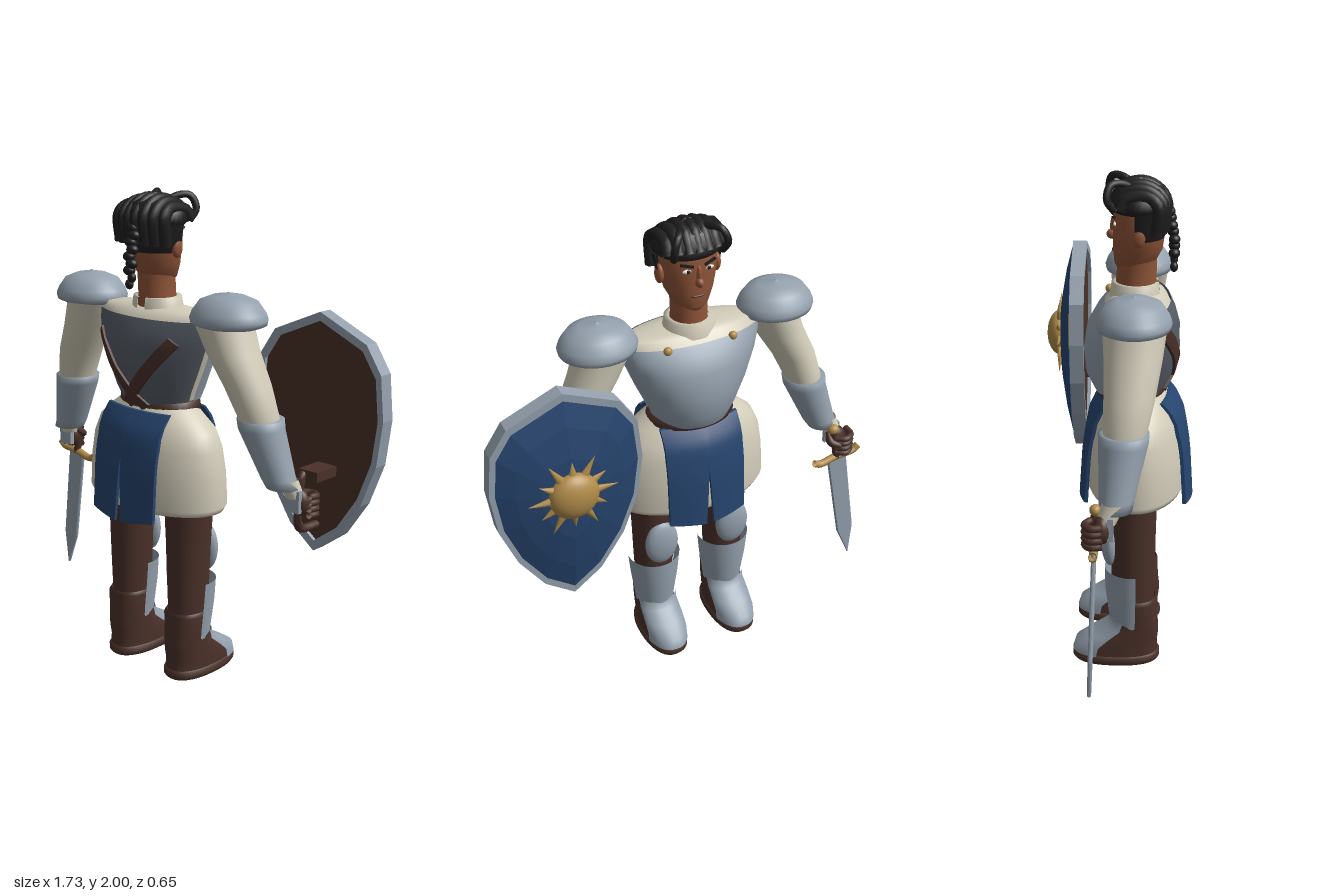
import * as THREE from 'three';

const mat = (name, color) => {
  const m = new THREE.MeshStandardMaterial({ color, side: THREE.DoubleSide });
  m.name = name;
  return m;
};
const M = {
  skin: mat('skin', 0x8f5438), hair: mat('hair', 0x1e1e1e), steel: mat('steel', 0x94a1ae),
  dark: mat('dark steel', 0x565d67), cream: mat('cream cloth', 0xd2ccb9), brown: mat('brown leather', 0x4b3129),
  blue: mat('blue cloth', 0x26456f), brass: mat('brass', 0xb18c4a), white: mat('eye white', 0xe6e0d4),
};
const C = -0.095; // body centre line in x
const V = (x, y, z) => new THREE.Vector3(x, y, z);

export function createModel() {
  const root = new THREE.Group();
  const add = (name, geo, m, pos = [0, 0, 0], scale = [1, 1, 1], parent = root) => {
    const mesh = new THREE.Mesh(geo, m);
    mesh.name = name;
    mesh.position.set(...pos);
    mesh.scale.set(...scale);
    parent.add(mesh);
    return mesh;
  };
  const ball = (name, m, pos, radii, parent) =>
    add(name, new THREE.SphereGeometry(1, 24, 16), m, pos, radii, parent);

  // Skin over horizontal rings [x, y, z, halfWidth, front, back], bottom to top; +z is the back.
  function loft(rings, { from = 0, to = Math.PI * 2, n = 36, pow = 1, grow = 0 } = {}) {
    const full = to - from > 6.28, cols = full ? n : n + 1, pos = [], idx = [];
    const p = v => Math.sign(v) * Math.abs(v) ** pow;
    rings.forEach(([x, y, z, w, f, b = f]) => {
      for (let j = 0; j < cols; j++) {
        const t = from + (to - from) * j / n, s = p(Math.sin(t));
        pos.push(x + (w + grow) * p(Math.cos(t)), y, z + s * ((s > 0 ? b : f) + grow));
      }
    });
    for (let i = 0; i < rings.length - 1; i++) for (let j = 0; j < n; j++) {
      const a = i * cols + j, b = i * cols + (j + 1) % cols, c = a + cols, d = b + cols;
      idx.push(a, c, b, b, c, d);
    }
    const g = new THREE.BufferGeometry();
    g.setAttribute('position', new THREE.Float32BufferAttribute(pos, 3));
    g.setIndex(idx);
    g.computeVertexNormals();
    return g;
  }
  // Linear lookup of column k in rows sorted by rising y
  const at = (rows, y, yCol, k) => {
    let i = 0;
    while (i < rows.length - 2 && y > rows[i + 1][yCol]) i++;
    const a = rows[i], b = rows[i + 1];
    const t = THREE.MathUtils.clamp((y - a[yCol]) / (b[yCol] - a[yCol]), 0, 1);
    return a[k] + (b[k] - a[k]) * t;
  };
  const bend = (g, rule) => {
    const p = g.attributes.position, v = V(0, 0, 0);
    for (let i = 0; i < p.count; i++) { v.fromBufferAttribute(p, i); rule(v); p.setXYZ(i, v.x, v.y, v.z); }
    g.computeVertexNormals();
    return g;
  };
  const tube = (name, pts, r, m, parent) =>
    add(name, new THREE.TubeGeometry(new THREE.CatmullRomCurve3(pts.map(p => V(...p))), 20, r, 8), m, undefined, undefined, parent);

  // Torso: cloth body, breastplate, back plate
  const torso = [[C, 1.15, .08, .155, .14, .11], [C, 1.22, .08, .18, .175, .145], [C, 1.32, .08, .225, .185, .17],
    [C, 1.42, .08, .265, .17, .172], [C, 1.48, .08, .285, .135, .155], [C, 1.52, .08, .29, .1, .135]];
  add('tunicTop', loft([...torso, [C, 1.545, .085, .27, .085, .1], [C, 1.555, .09, .08, .07, .07]]), M.cream);
  add('breastplate', loft(torso, { from: Math.PI + .08, to: Math.PI * 2 - .08, grow: .01 }), M.steel);
  add('backPlate', loft(torso, { from: .08, to: Math.PI - .08, grow: .01 }), M.dark);
  add('collar', loft([[C, 1.53, .09, .11, .105, .095], [C, 1.59, .09, .1, .095, .09], [C, 1.59, .09, .078, .078]],
    { from: Math.PI / 2 + .2, to: Math.PI * 2.5 - .2 }), M.cream);
  for (const s of [-1, 1]) {
    ball('strapStud', M.brass, [C + s * .14, 1.515, -.02], [.018, .018, .016]);
    const strap = new THREE.BoxGeometry(.045, .385, .025, 2, 12, 1).rotateZ(s * -.72).translate(s * .077, 1.3, 0);
    bend(strap, v => {
      const w = at(torso, v.y, 1, 3), b = at(torso, v.y, 1, 5);
      v.z += .09 + b * Math.sqrt(Math.max(.1, 1 - (v.x / w) ** 2));
      v.x += C;
    });
    add('backStrap', strap, M.brown);
  }

  // Skirt, belt and split tabard
  add('skirt', loft([[C, .76, .095, .3, .17], [C, .745, .095, .33, .192], [C, .77, .095, .343, .204], [C, .9, .095, .335, .2],
    [C, 1.0, .095, .32, .185], [C, 1.07, .095, .29, .165], [C, 1.12, .095, .235, .135], [C, 1.17, .09, .165, .11]], { n: 48 }), M.cream);
  add('belt', loft([[C, 1.14, .085, .16, .13, .11], [C, 1.14, .085, .19, .15, .125], [C, 1.18, .085, .18, .15, .125], [C, 1.18, .085, .15, .13, .11]]), M.brown);
  const drape = [[.69, .226], [.9, .212], [1.05, .188], [1.1, .165], [1.15, .125]];
  for (const face of [-1, 1]) for (const s of [-1, 1]) {
    const panel = bend(new THREE.BoxGeometry(.17, .45, .014, 6, 10, 1), v => {
      const y = v.y + .92, low = Math.max(0, .97 - y), out = (v.x + .085) / .17;
      const x = out * .172 + low * .06 * (1 - out);
      v.set(C + s * x, y + out * .02 * (low > 0 ? 1 : 0), .095 + face * (at(drape, y, 0, 1) - 1 * x * x + v.z));
    });
    add(face < 0 ? 'frontTabard' : 'backTabard', panel, M.blue);
  }

  // Legs, boots and leg armour
  for (const s of [-1, 1]) {
    const x = C + s * .168, leg = new THREE.Group();
    leg.name = s > 0 ? 'legPlusX' : 'legMinusX';
    root.add(leg);
    const part = (name, g, m) => add(name, g, m, undefined, undefined, leg);
    part('trouser', loft([[x, .27, .085, .08, .085, .09], [x, .45, .085, .088, .085, .093], [x, .6, .085, .093, .092, .095],
      [x, .8, .085, .105, .105, .1]]), M.brown);
    const boot = [[x, .04, .02, .088, .172, .172], [x, .08, .025, .088, .165, .165], [x, .12, .05, .087, .13, .145],
      [x, .16, .08, .085, .09, .115], [x, .2, .09, .086, .085, .1], [x, .28, .09, .09, .09, .097], [x, .295, .09, .08, .08, .09]];
    part('boot', loft(boot, { pow: .85 }), M.brown);
    part('sole', loft([[x, 0, .02, .001, .001], [x, 0, .02, .088, .172], [x, .012, .02, .096, .181],
      [x, .034, .02, .096, .181], [x, .042, .02, .085, .17]], { pow: .85 }), M.brown);
    part('footPlate', loft(boot.slice(0, 5), { from: Math.PI + .4, to: 2 * Math.PI - .4, pow: .85, grow: .009 }), M.steel);
    part('greave', loft([[x, .17, .085, .085, .09], [x, .22, .085, .09, .097], [x, .33, .085, .105, .11], [x, .43, .085, .115, .112]],
      { from: Math.PI - .15, to: 2 * Math.PI + .15 }), M.steel);
    ball('kneePad', M.steel, [x, .545, -.005], [.075, .11, .037], leg);
  }

  // Arms: sleeve, pad, cuff and gloved fist
  for (const s of [-1, 1]) {
    const X = d => C + s * d, arm = new THREE.Group();
    arm.name = s > 0 ? 'armPlusX' : 'armMinusX';
    root.add(arm);
    const part = (name, g, m, pos) => add(name, g, m, pos, undefined, arm);
    part('sleeve', loft([[X(.52), 1.13, .06, .07, .075], [X(.52), 1.18, .065, .078, .082], [X(.475), 1.3, .08, .09, .095],
      [X(.41), 1.42, .09, .1, .108], [X(.36), 1.54, .095, .11, .12]]), M.cream);
    const pad = part('shoulderPad', new THREE.LatheGeometry([[0, -.06], [.13, -.06], [.155, -.05], [.16, -.03], [.15, -.005],
      [.12, .035], [.07, .055], [.01, .062], [.007, .068], [0, .068]].map(p => new THREE.Vector2(...p)), 36), M.steel, [X(.385), 1.58, .092]);
    pad.scale.z = .87;
    part('cuff', loft([[X(.615), .93, .035, .04, .04], [X(.62), .915, .035, .066, .062], [X(.6), .95, .038, .07, .066], [X(.53), 1.14, .06, .09, .092],
      [X(.525), 1.175, .06, .092, .094], [X(.525), 1.175, .06, .07, .075]]), M.steel);
    part('wrist', loft([[X(.655), .875, .0, .036, .038], [X(.635), .95, .03, .042, .045]]), M.cream);
    ball('palm', M.brown, [X(.665), .855, -.012], [.045, .055, .035], arm);
    for (let i = 0; i < 4; i++)
      tube('finger', [[X(.715), .885 - i * .025, -.01], [X(.715), .882 - i * .025, -.055], [X(.68), .88 - i * .025, -.075],
        [X(.645), .88 - i * .025, -.055]], .014, M.brown, arm);
    tube('thumb', [[X(.63), .89, -.01], [X(.625), .86, -.05], [X(.66), .845, -.07]], .015, M.brown, arm);
    part('handPlate', new THREE.BoxGeometry(.07, .09, .02), M.steel, [X(.66), .865, .018]);
  }

  // Head and face (facing -z)
  add('neck', loft([[C, 1.53, .09, .08, .08], [C, 1.6, .09, .072, .078], [C, 1.7, .095, .075, .075]]), M.skin);
  add('head', loft([[C, 1.645, .08, .001, .001], [C, 1.645, .06, .04, .045, .05], [C, 1.665, .08, .07, .075, .08], [C, 1.72, .1, .098, .1, .09],
    [C, 1.79, .1, .112, .1, .1], [C, 1.86, .1, .116, .1, .105], [C, 1.92, .1, .1, .085, .1], [C, 1.96, .1, .04, .04]]), M.skin);
  ball('nose', M.skin, [C, 1.775, -.003], [.016, .02, .022]);
  ball('noseBridge', M.skin, [C, 1.805, .002], [.011, .04, .013]);
  ball('mouth', M.brown, [C, 1.715, .003], [.032, .005, .007]);
  for (const s of [-1, 1]) {
    ball('ear', M.skin, [C + s * .12, 1.79, .1], [.017, .04, .026]);
    ball('eye', M.white, [C + s * .045, 1.825, .009], [.021, .009, .007]);
    ball('pupil', M.hair, [C + s * .043, 1.825, .004], [.008, .008, .004]);
    const brow = add('brow', new THREE.BoxGeometry(.052, .009, .009), M.hair, [C + s * .048, 1.85, .006]);
    brow.rotation.set(0, s * -.25, s * .2);
  }

  // Hair: cap, swept locks, curls and braid
  add('hairBack', loft([[C, 1.77, .1, .118, .1, .098], [C, 1.8, .1, .13, .1, .108], [C, 1.88, .1, .145, .1, .115]],
    { from: -.15, to: Math.PI + .15 }), M.hair);
  add('hairCap', loft([[C, 1.87, .1, .125, .1, .11], [C, 1.89, .1, .145, .113, .118], [C, 1.925, .1, .138, .105, .112],
    [C, 1.96, .1, .105, .08, .09], [C, 1.98, .1, .055, .045], [C, 1.985, .1, .001, .001]]), M.hair);
  for (let i = -3; i <= 3; i++) {
    const d = i * .038, drop = d * d * 2.2;
    tube('hairLock', [[C + d * 1.1, 1.8, .195 - drop], [C + d * 1.1, 1.91, .2 - drop], [C + d, 1.97 - drop, .13],
      [C + d, 1.96 - drop, .05], [C + d * 1.05, 1.895, .0 + drop]], .024, M.hair);
  }
  for (const s of [-1, 1]) {
    tube('frontCurl', [[C + s * .03, 1.94, .1], [C + s * .06, 1.98, .04], [C + s * .09, 1.98, -.005], [C + s * .11, 1.93, -.018],
      [C + s * .1, 1.885, .01]], .015, M.hair);
  }
  ball('crown', M.skin, [C, 1.98, .105], [.022, .015, .022]);
  for (let i = 0; i < 9; i++) {
    const r = i < 7 ? .026 : .018;
    ball('braidKnot', M.hair, [C + (i % 2 ? .007 : -.007), 1.865 - i * .027, .215 + Math.min(i, 4) * .005], [r, .02, r * .85]);
  }

  // Shield with domed face, sun and grip
  const shield = new THREE.Group();
  shield.name = 'shield';
  shield.position.set(.545, 1.15, 0);
  root.add(shield);
  const half = [[0, .425], [.22, .33], [.29, .225], [.308, .05], [.285, -.13], [.22, -.3], [.12, -.45], [0, -.54]];
  const outline = [...half, ...half.slice(1, -1).reverse().map(([x, y]) => [-x, y])];
  const scaled = k => outline.map(([x, y]) => new THREE.Vector2(x * k, y * k));
  const rim = new THREE.Shape(scaled(1));
  rim.holes.push(new THREE.Path(scaled(.92)));
  add('shieldRim', new THREE.ExtrudeGeometry(rim, { depth: .06, bevelEnabled: false }), M.steel, [0, 0, -.2], undefined, shield);
  add('shieldBack', new THREE.ShapeGeometry(new THREE.Shape(scaled(.93))), M.brown, [0, 0, -.155], undefined, shield);
  const dome = [], rows = [.93, .7, .4, 0], N = outline.length;
  const domePoint = (k, j) => [outline[j % N][0] * k, outline[j % N][1] * k, -.195 - .068 * (1 - k * k)];
  for (let i = 0; i < 3; i++) for (let j = 0; j < N; j++) {
    const [a, b, c, d] = [[i, j], [i, j + 1], [i + 1, j], [i + 1, j + 1]].map(([r, q]) => domePoint(rows[r], q));
    dome.push(...a, ...b, ...c);
    if (i < 2) dome.push(...b, ...d, ...c);
  }
  const domeGeo = new THREE.BufferGeometry();
  domeGeo.setAttribute('position', new THREE.Float32BufferAttribute(dome, 3));
  domeGeo.computeVertexNormals();
  add('shieldFace', domeGeo, M.blue, undefined, undefined, shield);
  ball('sunDisc', M.brass, [0, .005, -.262], [.1, .1, .058], shield);
  for (let i = 0; i < 12; i++) {
    const a = i * Math.PI / 6, len = i % 2 ? .08 : .11, r = .075 + len / 2;
    const ray = add('sunRay', new THREE.ConeGeometry(.022, len, 8), M.brass, [Math.cos(a) * r, .005 + Math.sin(a) * r, -.262], [1, 1, .7], shield);
    ray.rotation.z = a - Math.PI / 2;
  }
  tube('shieldGrip', [[.02, -.19, -.155], [.02, -.19, -.04], [.02, -.22, -.025], [.01, -.36, -.025], [0, -.42, -.05], [0, -.43, -.155]], .017, M.brown, shield);
  add('gripBracket', new THREE.BoxGeometry(.09, .04, .12), M.brown, [.045, -.19, -.095], undefined, shield);

  // Sword
  const sword = new THREE.Group();
  sword.name = 'sword';
  sword.position.set(-.755, .77, -.042);
  sword.rotation.set(.03, 0, -.165);
  root.add(sword);
  const blade = new THREE.Shape([[-.042, 0], [.042, 0], [.036, -.43], [0, -.58], [-.036, -.43]].map(p => new THREE.Vector2(...p)));
  add('blade', new THREE.ExtrudeGeometry(blade, { depth: .006, bevelSize: .004, bevelThickness: .005, bevelSegments: 1 }), M.steel, [0, 0, -.003], undefined, sword);
  tube('guard', [[-.11, .01, 0], [-.085, -.005, 0], [0, .0, 0], [.085, -.005, 0], [.11, .01, 0]], .016, M.brass, sword);
  add('grip', new THREE.CylinderGeometry(.016, .016, .15, 16), M.brown, [0, .07, 0], undefined, sword);
  ball('pommel', M.brass, [0, .15, 0], [.025, .022, .022], sword);
  return root;
}
